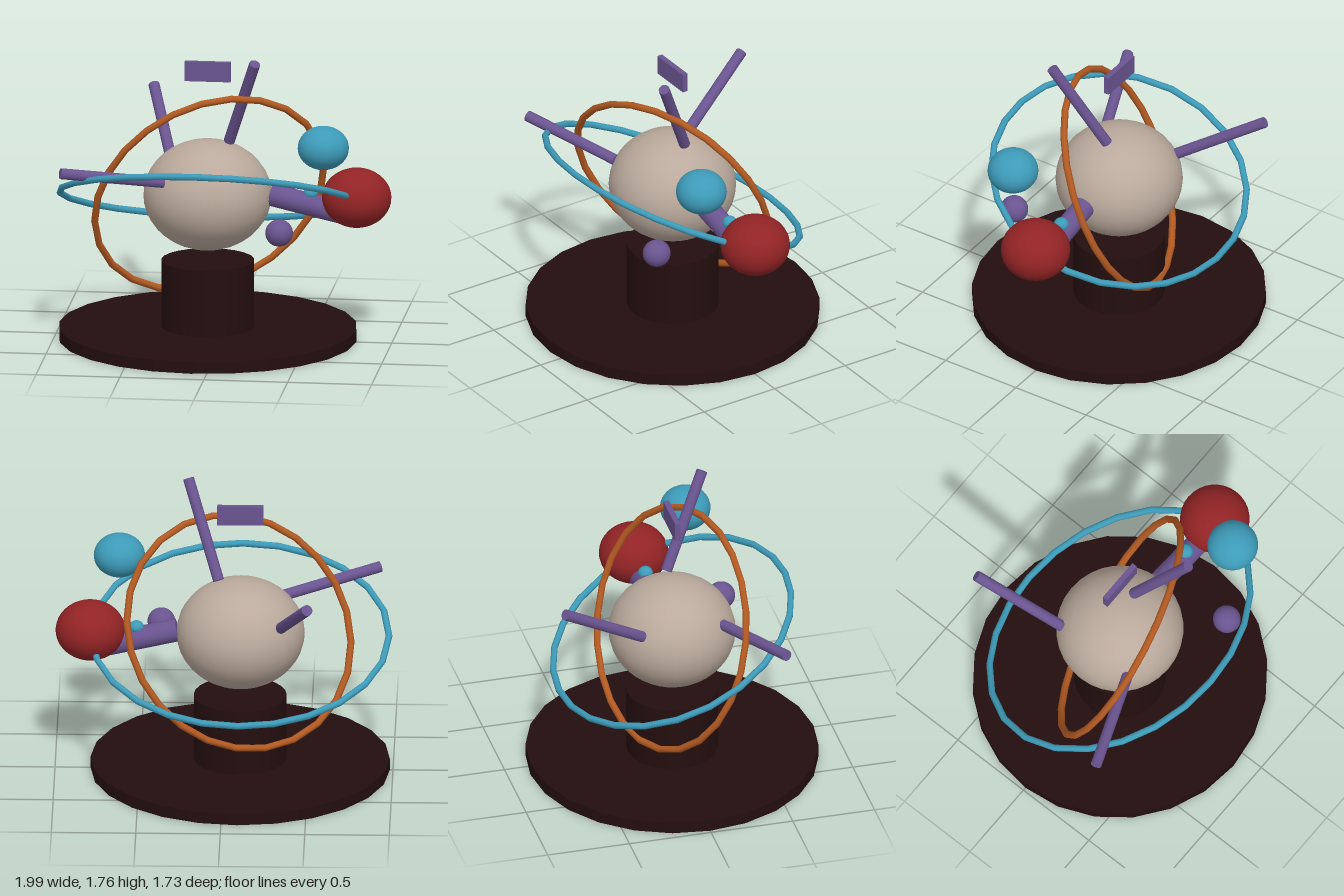
import * as THREE from 'three';

const mat = (name, color) => {
  const m = new THREE.MeshStandardMaterial({ color });
  m.name = name;
  return m;
};

export function createModel() {
  const model = new THREE.Group();
  model.name = 'orbitSculpture';

  const dark = mat('darkWood', 0x240e0f);
  const stone = mat('paleStone', 0xbaa99c);
  const red = mat('deepRed', 0x922325);
  const cyan = mat('cyan', 0x3d9bb9);
  const purple = mat('purple', 0x6a5490);
  const orange = mat('burntOrange', 0xb35a22);

  const add = (name, geometry, material, pos = [0, 0, 0]) => {
    const mesh = new THREE.Mesh(geometry, material);
    mesh.name = name;
    mesh.position.set(...pos);
    model.add(mesh);
    return mesh;
  };

  // Ball with separate radii
  const ball = (name, pos, radii, material) =>
    add(name, new THREE.SphereGeometry(1, 32, 20).scale(...radii), material, pos);

  // Upright disc or drum, slightly narrower in depth
  const drum = (name, y0, y1, rx, rz) =>
    add(name, new THREE.CylinderGeometry(1, 1, y1 - y0, 24).scale(rx, 1, rz), dark, [-0.096, (y0 + y1) / 2, 0]);

  // Round bar between two points
  const bar = (name, from, to, radius) => {
    const a = new THREE.Vector3(...from), b = new THREE.Vector3(...to);
    const dir = b.clone().sub(a);
    const mesh = add(name, new THREE.CylinderGeometry(radius, radius, dir.length(), 16), purple,
      a.clone().add(b).multiplyScalar(0.5).toArray());
    mesh.quaternion.setFromUnitVectors(new THREE.Vector3(0, 1, 0), dir.normalize());
  };

  // Tilted oval ring spanned by two half-axis vectors
  const ring = (name, center, axisA, axisB, radius, material) => {
    const a = new THREE.Vector3(...axisA), b = new THREE.Vector3(...axisB);
    const points = [];
    for (let i = 0; i < 24; i++) {
      const t = (i / 24) * Math.PI * 2;
      points.push(new THREE.Vector3().addScaledVector(a, Math.cos(t)).addScaledVector(b, Math.sin(t)));
    }
    const curve = new THREE.CatmullRomCurve3(points, true);
    add(name, new THREE.TubeGeometry(curve, 24, radius, 8, true), material, center);
  };

  // Stand
  drum('base', 0, 0.072, 0.885, 0.866);
  drum('pedestal', 0.072, 0.477, 0.275, 0.272);

  // Central body and orbit rings
  ball('body', [-0.098, 0.875, 0], [0.38, 0.33, 0.376], stone);
  ring('cyanRing', [-0.097, 0.859, 0], [0.88, 0, 0], [0, 0.297, 0.692], 0.02, cyan);
  ring('orangeRing', [-0.088, 0.877, 0], [0.16, 0.645, 0.235], [0.64, 0, -0.246], 0.021, orange);

  // Bars radiating from the body
  bar('topBar', [0.032, 1.207, 0], [0.216, 1.748, 0.266], 0.033);
  bar('leftBar', [-0.33, 1.004, 0.25], [-0.915, 1.1, 0.486], 0.033);
  bar('backBar', [-0.34, 1.005, -0.245], [-0.508, 1.338, -0.762], 0.033);
  bar('arm', [0.275, 0.887, 0], [0.72, 0.785, 0], 0.068);

  // Balls around the body
  ball('redBall', [0.791, 0.882, 0], [0.206, 0.177, 0.206], red);
  ball('cyanBall', [0.625, 1.25, 0.272], [0.152, 0.13, 0.15], cyan);
  ball('smallCyanBall', [0.518, 0.904, 0], [0.044, 0.039, 0.044], cyan);
  ball('purpleBall', [0.38, 0.763, 0.427], [0.082, 0.081, 0.083], purple);

  // Floating plate
  add('plate', new THREE.BoxGeometry(0.274, 0.118, 0.034), purple, [-0.097, 1.626, 0]);

  return model;
}
